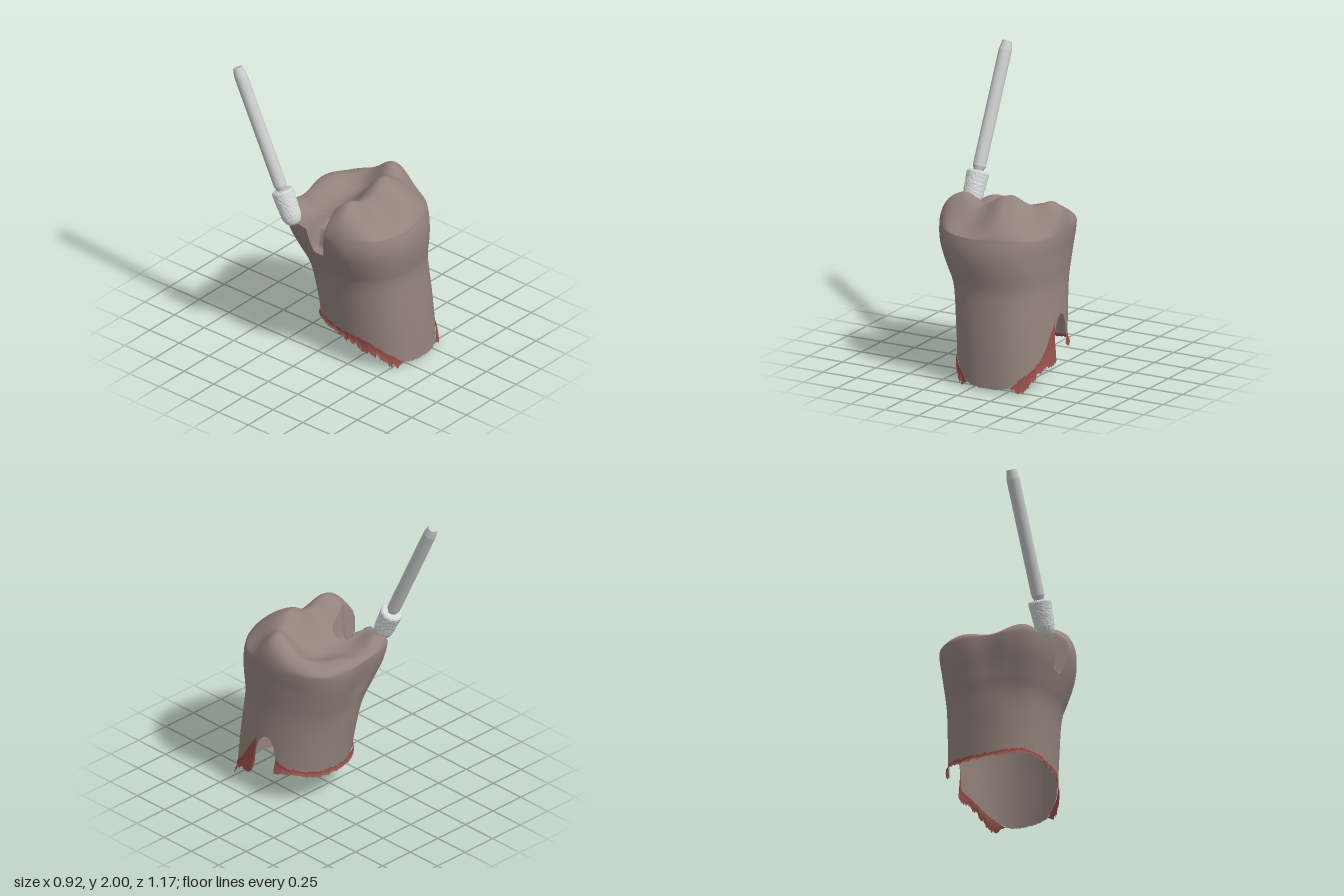
import * as THREE from 'three';

const N = 380;                       // columns around the tooth
const CX = 0.02, CZ = 0.13;          // crown centre
const RIM = 1;                       // height where the wall turns into the chewing surface
const { lerp, smoothstep, clamp } = THREE.MathUtils;
const hash = n => { const s = Math.sin(n * 127.1 + 3.7) * 43758.5453; return s - Math.floor(s); };

// smooth lookup; rows are [key, ...values] with rising keys
function lookup(table, k) {
  const last = table.length - 1;
  let i = 0;
  while (i < last - 1 && k > table[i + 1][0]) i++;
  const a = table[i], b = table[i + 1], p = table[Math.max(i - 1, 0)], q = table[Math.min(i + 2, last)];
  const w = b[0] - a[0], t = clamp((k - a[0]) / w, 0, 1), t2 = t * t, t3 = t2 * t;
  return a.slice(1).map((v, n) => {
    const m0 = (b[n + 1] - p[n + 1]) / (b[0] - p[0]) * w, m1 = (q[n + 1] - v) / (q[0] - a[0]) * w;
    return (2 * t3 - 3 * t2 + 1) * v + (t3 - 2 * t2 + t) * m0 + (3 * t2 - 2 * t3) * b[n + 1] + (t3 - t2) * m1;
  });
}

// crown outline seen from above, running from +x towards +z
const outline = new THREE.CatmullRomCurve3([
  [0.443, 0.13], [0.43, 0.27], [0.378, 0.39], [0.285, 0.485], [0.145, 0.543], [-0.03, 0.553],
  [-0.19, 0.512], [-0.31, 0.43], [-0.384, 0.32], [-0.405, 0.23], [-0.4, 0.1], [-0.385, -0.05], [-0.33, -0.2],
  [-0.2, -0.255], [-0.05, -0.268], [0.1, -0.298], [0.25, -0.272], [0.35, -0.185], [0.405, -0.07],
].map(([x, z]) => new THREE.Vector3(x, 0, z)), true).getSpacedPoints(N);

// height: xmin, xmax, zmin, zmax of the wall
const WALL = [
  [0, -0.21, 0.445, -0.12, 0.577], [0.2, -0.235, 0.44, -0.143, 0.567],
  [0.4, -0.255, 0.43, -0.17, 0.555], [0.58, -0.277, 0.42, -0.2, 0.54],
  [0.66, -0.295, 0.418, -0.217, 0.538], [0.72, -0.32, 0.421, -0.235, 0.547],
  [0.8, -0.352, 0.428, -0.256, 0.559], [0.88, -0.381, 0.434, -0.278, 0.563],
  [0.95, -0.398, 0.441, -0.293, 0.555], [RIM, -0.405, 0.443, -0.298, 0.54],
];
// the wall is a plain rounded section at the root and takes the crown outline higher up
function wallPoint(j, y) {
  const p = outline[j % N], [x0, x1, z0, z1] = lookup(WALL, y);
  const u = (p.x + 0.405) / 0.848 - 0.5, v = (p.z + 0.298) / 0.852 - 0.5;
  const l = Math.hypot(u, v), c = Math.abs(u / l), s = Math.abs(v / l);
  const round = 0.5 / (c ** 2.3 + s ** 2.3) ** (1 / 2.3);
  const k = lerp(round / l, 1, smoothstep(y, 0.5, 0.92));
  return [lerp(x0, x1, 0.5 + u * k), y, lerp(z0, z1, 0.5 + v * k)];
}

// cusps: x, z, height, spread outwards/inwards, spread along the rim
const CUSPS = [
  [-0.24, 0.27, 0.22, 0.16, 0.185], [0.1, 0.27, 0.26, 0.17, 0.185], [0.36, 0.12, 0.19, 0.13, 0.15],
  [-0.25, -0.19, 0.085, 0.13, 0.15], [0.13, -0.22, 0.07, 0.13, 0.17], [0.33, -0.1, 0.06, 0.12, 0.13],
];
const chewHeight = (x, z) => CUSPS.reduce((h, [cx, cz, a, sr, st]) => {
  const l = Math.hypot(cx - 0.04, cz - 0.1), nx = (cx - 0.04) / l, nz = (cz - 0.1) / l;
  const r = (x - cx) * nx + (z - cz) * nz, t = (z - cz) * nx - (x - cx) * nz;
  return h + a * Math.exp(-((r * (r > 0 ? 0.35 : 1) / sr) ** 2) - (t / st) ** 2);
}, 0.99);

// drilled cavity: a stepped trench with a round inner end, open at the side
function cavity(x, y, z) {
  const ax = -0.5, az = 0.12, dx = 0.32, dz = -0.065;
  const t = clamp(((x - ax) * dx + (z - az) * dz) / (dx * dx + dz * dz), 0, 1);
  const d = Math.hypot(x - ax - t * dx, z - az - t * dz);
  const floor = lerp(0.82, 0.94, smoothstep(x, -0.3, -0.24));
  return Math.min(y, floor + 0.45 * smoothstep(d, 0.035, 0.125));
}

// broken lower edge of the root, by depth
const EDGE = [[-0.3, 0.2], [-0.17, 0.21], [-0.02, 0.25], [0.2, 0.22], [0.3, 0.21], [0.4, 0.17], [0.48, 0.1], [0.55, 0.025], [0.58, 0.012]];
const edgeBase = j => lookup(EDGE, wallPoint(j, 0.2)[2])[0];
function rootEdge(j) {
  const [x, , z] = wallPoint(j, 0.2);
  let y = edgeBase(j) + 0.008 * hash(j % N);
  if (x > 0.25) {                                  // arched break in the side wall
    const q = 1 - ((z - 0.17) / 0.09) ** 2;
    if (q > 0) y = lerp(y, 0.46, Math.sqrt(q));
  }
  return y;
}

// closed ring surface from fn(row, column)
function ringSurface(rows, fn) {
  const pos = [], idx = [];
  for (let i = 0; i <= rows; i++) for (let j = 0; j < N; j++) pos.push(...fn(i, j));
  for (let i = 0; i < rows; i++) for (let j = 0; j < N; j++) {
    const k = (j + 1) % N, a = i * N + j, b = i * N + k, c = a + N, d = b + N;
    idx.push(a, c, b, b, c, d);
  }
  const g = new THREE.BufferGeometry();
  g.setAttribute('position', new THREE.Float32BufferAttribute(pos, 3));
  g.setIndex(idx);
  g.computeVertexNormals();
  return g;
}

function toothGeometry() {
  const side = 50, dome = 90;
  return ringSurface(side + dome, (i, j) => {
    let x, y, z;
    if (i <= side) {
      [x, y, z] = wallPoint(j, lerp(rootEdge(j), RIM, i / side));
    } else {
      const u = (i - side) / dome, s = 1 - u ** 1.4;
      const p = wallPoint(j, RIM), dx = p[0] - CX, dz = p[2] - CZ;
      x = CX + dx * s;
      z = CZ + dz * s;
      // the front slopes gently, sides and back turn over sharply
      const front = smoothstep(dz / Math.hypot(dx, dz), -0.1, 0.9);
      const rise = Math.max(0, 1 - s ** lerp(14, 2, front)) ** lerp(0.5, 0.6, front);
      y = RIM + (chewHeight(x, z) - RIM) * rise;
    }
    // cut the cavity and keep its floor inside the wall
    const cut = cavity(x, y, z);
    if (cut < y) x = Math.max(x, wallPoint(j, cut)[0]);
    return [x, cut, z];
  });
}

// ragged gum strip around the root edge, missing at the front and at the break
function gumGeometry() {
  const rows = 4;
  return ringSurface(rows, (i, j) => {
    const [x, , z] = wallPoint(j, 0.2), base = edgeBase(j), outer = x > 0.25;
    const fade = outer && z > 0.085 && z < 0.25 ? 0 : 1 - smoothstep(z, 0.5, 0.545);
    const hang = lerp(0.02, 0.065, smoothstep(z, 0.15, 0.35)) * (0.5 + 0.6 * hash(Math.floor(j / 4)) + 0.3 * hash(j + 50));
    let top = 0.008 + 0.012 * hash(Math.floor(j / 3) + 9);
    if (outer && z >= 0.25 && z < 0.39) top += 0.19 * (0.39 - z) / 0.14;
    if (outer && z > 0 && z <= 0.085) top += 0.07 * z / 0.085;
    const y = Math.max(0.003, lerp(base - hang * fade, base + top * fade, i / rows));
    const p = wallPoint(j, y), out = lerp(0.016, 0.004, Math.min(1, i / 2)) * fade;
    const dx = p[0] - 0.1, dz = p[2] - 0.2, l = Math.hypot(dx, dz);
    return [p[0] + dx / l * out, y, p[2] + dz / l * out];
  });
}

// grit-covered drill head with a rounded tip, roughened by seeded noise
function headGeometry() {
  const ends = [[0.001, 0], [0.028, 0.005], [0.048, 0.02], [0.06, 0.045], [0.066, 0.075]];
  const pts = ends.map(p => new THREE.Vector2(...p));
  for (let i = 1; i <= 18; i++) pts.push(new THREE.Vector2(lerp(0.066, 0.074, i / 18), lerp(0.075, 0.235, i / 18)));
  pts.push(new THREE.Vector2(0.066, 0.246), new THREE.Vector2(0.02, 0.25));
  const seg = 48, g = new THREE.LatheGeometry(pts, seg), p = g.attributes.position;
  for (let v = 0; v < p.count; v++) {
    const col = Math.floor(v / pts.length) % seg, row = v % pts.length;
    const k = 1 + 0.045 * (hash(col * 31 + row * 7.3) - 0.5);
    p.setXYZ(v, p.getX(v) * k, p.getY(v), p.getZ(v) * k);
  }
  g.computeVertexNormals();
  return g;
}

export function createModel() {
  const mat = (name, color, extra) => Object.assign(new THREE.MeshStandardMaterial({ color, ...extra }), { name });
  const enamel = mat('tooth brown', 0x94837d, { side: THREE.DoubleSide });
  const gumRed = mat('gum red', 0x96504b, { side: THREE.DoubleSide });
  const steel = mat('steel grey', 0xc8cbc9);
  const grit = mat('grit grey', 0xd4d9d7, { flatShading: true });

  const model = new THREE.Group();
  model.name = 'toothWithDrill';
  const add = (parent, name, geometry, material) => {
    const m = new THREE.Mesh(geometry, material);
    m.name = name;
    parent.add(m);
    return m;
  };
  add(model, 'tooth', toothGeometry(), enamel);
  add(model, 'gumEdge', gumGeometry(), gumRed);

  // drill leaning backwards, origin at the tip of its head
  const drill = new THREE.Group();
  drill.name = 'drill';
  drill.position.set(-0.385, 0.985, -0.083);
  drill.rotation.x = -0.448;
  add(drill, 'drillHead', headGeometry(), grit);
  add(drill, 'drillNeck', new THREE.CylinderGeometry(0.042, 0.03, 0.03, 40), steel).position.y = 0.262;
  add(drill, 'drillShank', new THREE.CylinderGeometry(0.043, 0.043, 0.773, 40), steel).position.y = 0.6635;
  add(drill, 'drillEnd', new THREE.CylinderGeometry(0.032, 0.043, 0.06, 40), steel).position.y = 1.08;
  model.add(drill);
  return model;
}
